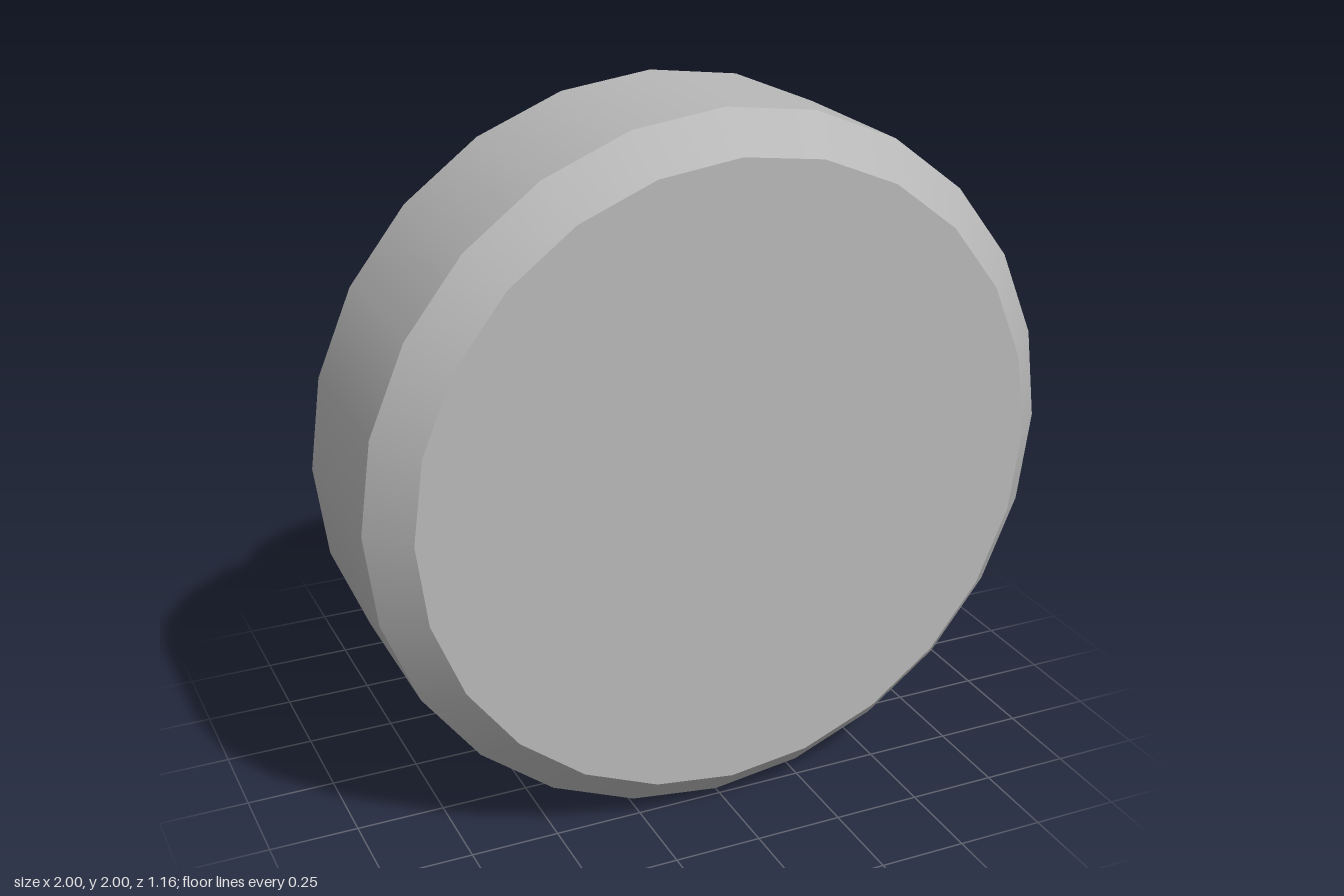
import * as THREE from 'three';

const SEGMENTS = 24;

export function createModel() {
  const model = new THREE.Group();
  model.name = 'roundKnob';
  const grey = new THREE.MeshStandardMaterial({ color: 0xb8b8b8 });
  grey.name = 'plain grey';

  // Each band is a smooth surface of revolution about z, given as [radius, z]
  // from back to front; separate bands keep the edges between them sharp.
  const bands = {
    backButton: [[0, -0.58], [0.44, -0.58], [0.64, -0.465]],
    neck: [[0.64, -0.465], [0.64, -0.225]],
    shoulder: [[0.64, -0.225], [0.9, -0.09], [1, 0.01]],
    rim: [[1, 0.01], [1, 0.475]],
    frontBevel: [[1, 0.475], [0.895, 0.58]],
    frontFace: [[0.895, 0.58], [0, 0.58]],
  };

  for (const [name, profile] of Object.entries(bands)) {
    const points = profile.map(([r, z]) => new THREE.Vector2(r, z));
    const geometry = new THREE.LatheGeometry(points, SEGMENTS);
    geometry.rotateX(Math.PI / 2); // lathe axis y becomes z
    geometry.translate(0, 1, 0);
    const mesh = new THREE.Mesh(geometry, grey);
    mesh.name = name;
    model.add(mesh);
  }
  return model;
}
